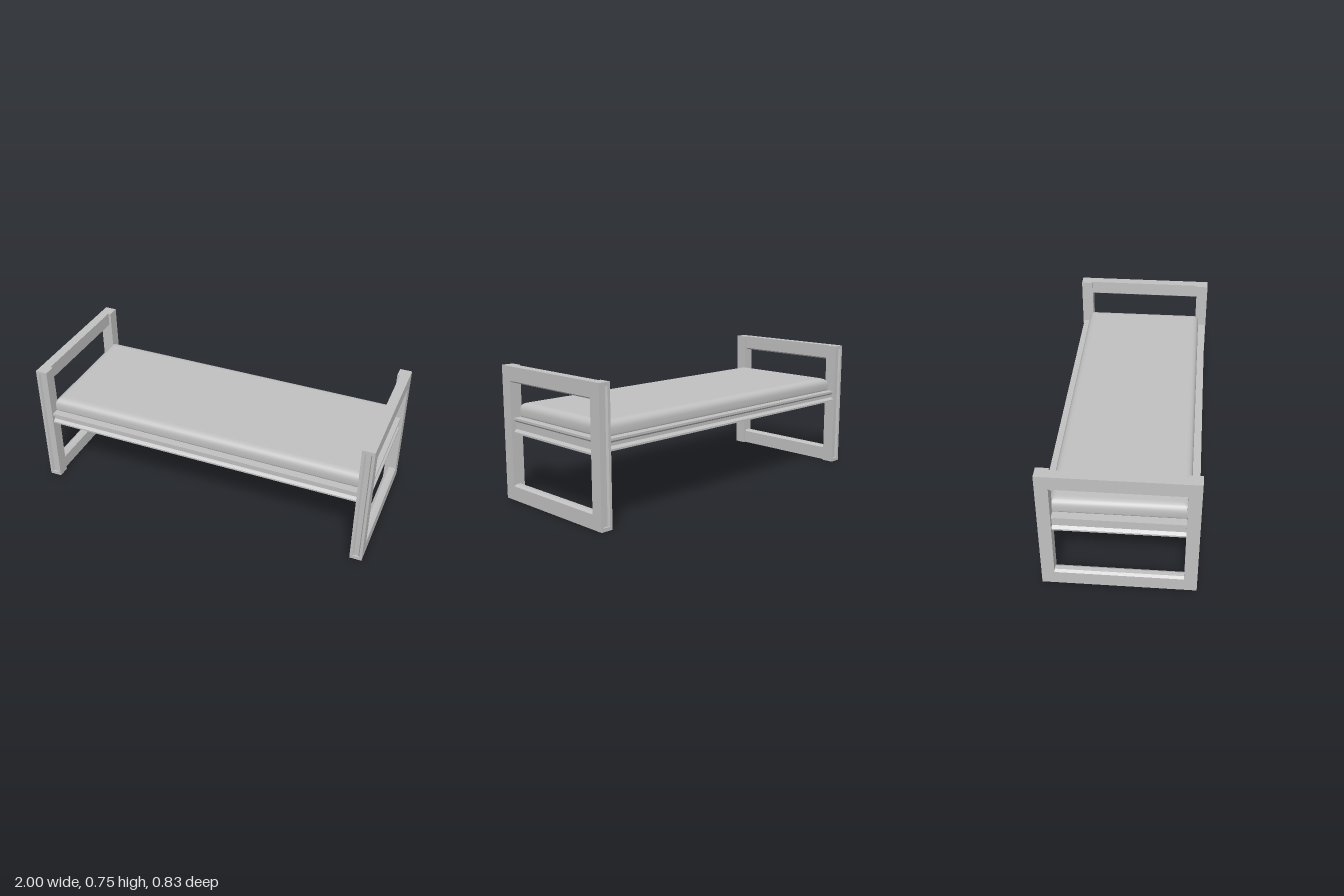
import * as THREE from 'three';

const HEIGHT = 0.755;
const grey = new THREE.MeshStandardMaterial({ color: 0xc0c0c0 });
grey.name = 'plain grey';

function mesh(name, geometry) {
  const m = new THREE.Mesh(geometry, grey);
  m.name = name;
  return m;
}

function box(name, w, h, d, x, y, z) {
  const m = mesh(name, new THREE.BoxGeometry(w, h, d));
  m.position.set(x, y, z);
  return m;
}

// Straight bar with the given cross-section, centred along z
function bar(points, length) {
  const shape = new THREE.Shape(points.map(([x, y]) => new THREE.Vector2(x, y)));
  const g = new THREE.ExtrudeGeometry(shape, { depth: length, bevelEnabled: false });
  return g.translate(0, 0, -length / 2);
}

// Rail section with a channel sunk between two lips on its outer side
function channel(inner, outer, y0, y1) {
  const web = outer - 0.015;
  return [[inner, y0], [outer, y0], [outer, y0 + 0.01], [web, y0 + 0.023],
    [web, y1 - 0.024], [outer, y1 - 0.012], [outer, y1], [inner, y1]];
}

// Post with a stopped groove down its +z face
function createPost() {
  const post = new THREE.Group();
  post.name = 'post';
  const w = 0.035, d = 0.035, cap = 0.02;
  const section = [[-w, d], [-w, -d], [-0.02, -d], [-0.013, -d + 0.012],
    [0.013, -d + 0.012], [0.02, -d], [w, -d], [w, d]];
  const shaft = mesh('groovedShaft', bar(section, HEIGHT - 2 * cap));
  shaft.rotation.x = -Math.PI / 2;
  shaft.position.y = HEIGHT / 2;
  post.add(shaft,
    box('postFoot', 2 * w, cap, 2 * d, 0, cap / 2, 0),
    box('postTop', 2 * w, cap, 2 * d, 0, HEIGHT - cap / 2, 0));
  return post;
}

// End frame at +x: two posts, top and bottom rails, channelled cross rail
function createEndFrame(name) {
  const frame = new THREE.Group();
  frame.name = name;
  for (const side of [1, -1]) {
    const post = createPost();
    post.position.set(0.965, 0, side * 0.38);
    if (side < 0) post.rotation.y = Math.PI;
    frame.add(post);
  }
  const section = [[0.945, 0], [1, 0], [1, 0.08], [0.985, 0.09], [0.96, 0.09], [0.945, 0.08]];
  frame.add(mesh('bottomRail', bar(section, 0.69)));
  frame.add(mesh('topRail', bar(section.map(([x, y]) => [x, HEIGHT - y]), 0.69)));
  frame.add(mesh('crossRail', bar(channel(0.935, 0.985, 0.38, 0.467), 0.69)));
  return frame;
}

// Cushion lofted from rounded rectangles that shrink towards the top
function createCushion() {
  const rings = [[0.462, 0.004], [0.475, 0], [0.505, 0], [0.518, 0.003], [0.528, 0.008],
    [0.536, 0.016], [0.541, 0.026], [0.544, 0.037], [0.545, 0.05]];
  const hx = 0.94, hz = 0.365, r = 0.012, steps = 5;
  const pos = [], index = [], n = 4 * (steps + 1);
  for (const [y, inset] of rings) {
    for (let c = 0; c < 4; c++) {
      const sx = c === 0 || c === 3 ? 1 : -1, sz = c < 2 ? 1 : -1;
      for (let i = 0; i <= steps; i++) {
        const a = (c + i / steps) * Math.PI / 2;
        pos.push(sx * (hx - inset - r) + r * Math.cos(a), y,
          sz * (hz - inset - r) + r * Math.sin(a));
      }
    }
  }
  for (let k = 0; k < rings.length - 1; k++) {
    for (let i = 0; i < n; i++) {
      const a = k * n + i, b = k * n + (i + 1) % n;
      index.push(a, a + n, b, b, a + n, b + n);
    }
  }
  // Flat top and underside
  const last = (rings.length - 1) * n, top = pos.length / 3;
  pos.push(0, 0.545, 0, 0, 0.462, 0);
  for (let i = 0; i < n; i++) {
    const j = (i + 1) % n;
    index.push(last + i, top, last + j, i, j, top + 1);
  }
  const g = new THREE.BufferGeometry();
  g.setAttribute('position', new THREE.Float32BufferAttribute(pos, 3));
  g.setIndex(index);
  g.computeVertexNormals();
  return mesh('cushion', g);
}

export function createModel() {
  const model = new THREE.Group();
  model.name = 'daybed';

  // End frames
  const left = createEndFrame('leftEndFrame');
  const right = createEndFrame('rightEndFrame');
  right.rotation.y = Math.PI;
  model.add(left, right);

  // Long side rails
  for (const side of [1, -1]) {
    const rail = mesh(side > 0 ? 'frontRail' : 'backRail',
      bar(channel(0.355, 0.408, 0.403, 0.467), 1.87));
    rail.rotation.y = -side * Math.PI / 2;
    model.add(rail);
  }

  // Base panel and cushion
  model.add(box('basePanel', 1.88, 0.012, 0.72, 0, 0.459, 0));
  model.add(createCushion());
  return model;
}
